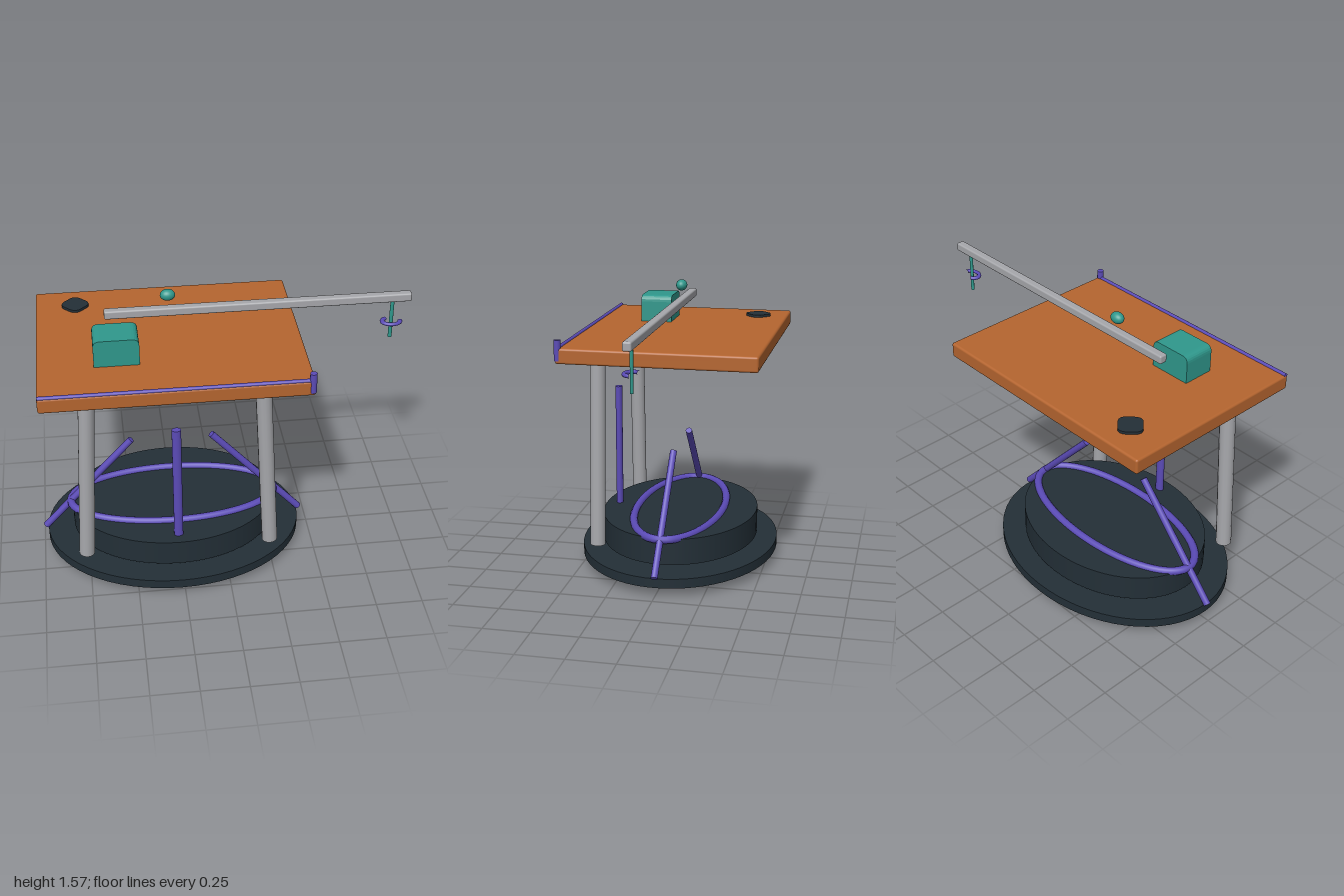
import * as THREE from 'three';
import { RoundedBoxGeometry } from 'three/addons/geometries/RoundedBoxGeometry.js';

const paint = (name, color) => {
  const m = new THREE.MeshStandardMaterial({ color });
  m.name = name;
  return m;
};

export function createModel() {
  const model = new THREE.Group();
  model.name = 'tableWithArm';
  const wood = paint('wood', 0xb5652f);
  const dark = paint('darkSlate', 0x232f37);
  const purple = paint('purple', 0x5b4bb7);
  const teal = paint('teal', 0x2f988c);
  const steel = paint('steel', 0xa6a7ab);
  const CX = -0.268; // centre line of the table and base
  const STRETCH = 1.295; // round parts are wider along x

  const add = (name, geometry, material, x = 0, y = 0, z = 0) => {
    const mesh = new THREE.Mesh(geometry, material);
    mesh.name = name;
    mesh.position.set(x, y, z);
    model.add(mesh);
    return mesh;
  };
  // Round bar between two points
  const bar = (name, a, b, r, material, sides = 14) => {
    const p = new THREE.Vector3(...a), q = new THREE.Vector3(...b);
    const d = q.clone().sub(p);
    const mesh = add(name, new THREE.CylinderGeometry(r, r, d.length(), sides), material);
    mesh.position.copy(p).add(q).multiplyScalar(0.5);
    mesh.quaternion.setFromUnitVectors(new THREE.Vector3(0, 1, 0), d.normalize());
    return mesh;
  };

  // Two oval base discs
  for (const [name, r, bottom, top] of [['lowerBase', 0.545, 0.05, 0.102], ['upperBase', 0.432, 0.125, 0.27]]) {
    add(name, new THREE.CylinderGeometry(r, r, top - bottom, 64), dark, CX, (bottom + top) / 2)
      .scale.x = STRETCH;
  }

  // Oval foot ring lying on the base
  const oval = [];
  for (let i = 0; i < 32; i++) {
    const a = (i / 32) * Math.PI * 2;
    oval.push(new THREE.Vector3(Math.cos(a) * 0.57, 0, Math.sin(a) * 0.243));
  }
  add('footRing', new THREE.TubeGeometry(new THREE.CatmullRomCurve3(oval, true), 80, 0.022, 10, true),
    purple, CX, 0.27);

  // Mirrored legs and slanted struts
  for (const s of [-1, 1]) {
    bar('leg', [CX + s * 0.496, 0.193, 0.36], [CX + s * 0.442, 1.23, 0.36], 0.042, steel);
    bar('strut', [CX + s * 0.717, 0.108, 0], [CX + s * 0.219, 0.658, 0], 0.019, purple, 12);
  }

  // Upright post through the base
  add('post', new THREE.CylinderGeometry(0.019, 0.019, 0.957, 14), purple, CX, 0.4785, 0.36).scale.x = 1.3;

  // Table top with its front rail and corner peg
  add('tableTop', new RoundedBoxGeometry(1.36, 0.082, 1.048, 2, 0.012), wood, CX, 1.261);
  bar('frontRail', [-0.946, 1.301, 0.51], [0.41, 1.301, 0.51], 0.011, purple, 10);
  add('cornerPeg', new THREE.CylinderGeometry(0.018, 0.018, 0.108, 14), purple, 0.398, 1.29, 0.512);

  // Block with rounded upper edges
  const w = 0.115, h = 0.15, r = 0.035;
  const blockShape = new THREE.Shape();
  blockShape.moveTo(-w, 0);
  blockShape.lineTo(w, 0);
  blockShape.lineTo(w, h - r);
  blockShape.quadraticCurveTo(w, h, w - r, h);
  blockShape.lineTo(r - w, h);
  blockShape.quadraticCurveTo(-w, h, -w, h - r);
  add('block', new THREE.ExtrudeGeometry(blockShape, { depth: 0.172, bevelEnabled: false, curveSegments: 5 }),
    teal, -0.548, 1.298, 0.093);

  // Scalloped pad at the back corner
  const padPoints = [];
  for (let i = 0; i < 48; i++) {
    const a = (i / 48) * Math.PI * 2;
    const rad = 0.066 + 0.005 * Math.cos(4 * a);
    padPoints.push(new THREE.Vector2(Math.cos(a) * rad, Math.sin(a) * rad));
  }
  add('pad', new THREE.ExtrudeGeometry(new THREE.Shape(padPoints), { depth: 0.016, bevelEnabled: false }),
    dark, -0.738, 1.3, -0.36).rotation.x = -Math.PI / 2;

  // Floating ball and long arm
  add('ball', new THREE.SphereGeometry(0.03, 24, 16), teal, CX, 1.54).scale.x = STRETCH;
  add('arm', new RoundedBoxGeometry(1.594, 0.046, 0.045, 2, 0.009), steel, 0.203, 1.45);

  // Hanging rod with an open hook ring
  add('hangingRod', new THREE.CylinderGeometry(0.0085, 0.0085, 0.225, 12), teal, 0.903, 1.323).scale.x = 1.25;
  const hook = add('hookRing', new THREE.TorusGeometry(0.036, 0.01, 10, 32, 4.1), purple, 0.904, 1.304);
  hook.rotation.x = Math.PI / 2;
  hook.scale.x = STRETCH;

  return model;
}
